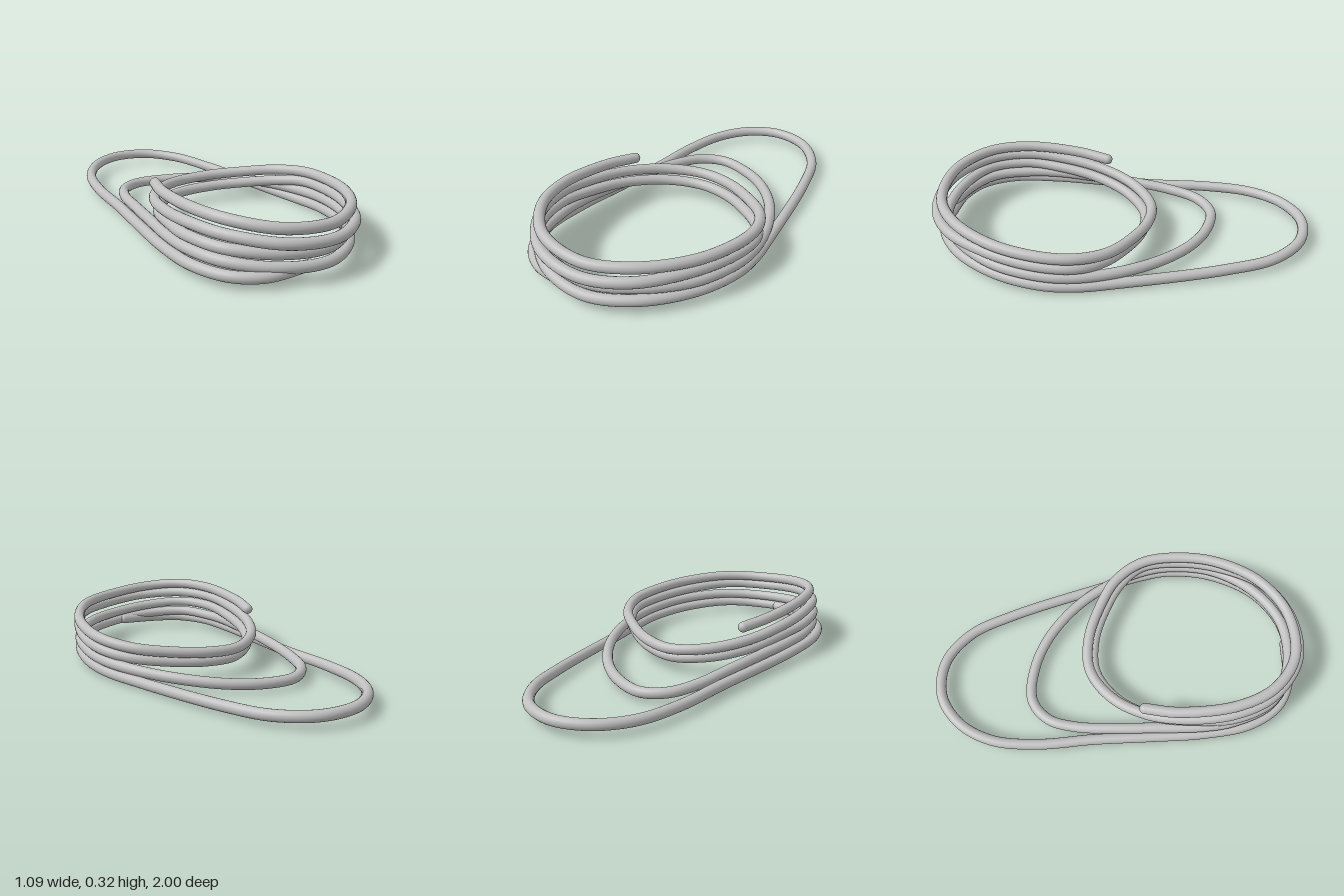
import * as THREE from 'three';

const R = 0.028;

// Front half of a turn, from the model's right to its left: [x, y, z]
const FRONT = [
  [-0.455, 0.293, 0.49], [-0.42, 0.292, 0.71], [-0.28, 0.27, 0.88], [-0.03, 0.246, 0.94],
  [0.2, 0.242, 0.86], [0.39, 0.227, 0.67], [0.49, 0.211, 0.45], [0.512, 0.199, 0.28],
];

// Back halves of the turns, from the model's left to its right
const SHORT_BACK = [
  [0.46, 0.18, 0.12], [0.35, 0.163, 0], [0.18, 0.147, -0.12], [0, 0.141, -0.165],
  [-0.19, 0.156, -0.095], [-0.34, 0.18, 0.06], [-0.435, 0.208, 0.27],
];
const MIDDLE_BACK = [
  [0.485, 0.079, 0.07], [0.41, 0.069, -0.14], [0.28, 0.055, -0.33], [0.13, 0.046, -0.45],
  [-0.04, 0.045, -0.508], [-0.17, 0.052, -0.455], [-0.26, 0.064, -0.32], [-0.33, 0.082, -0.13],
  [-0.4, 0.094, 0.1], [-0.465, 0.103, 0.33],
];
const LONG_BACK = [
  [0.507, 0.031, 0.05], [0.479, 0.044, -0.48], [0.43, 0.053, -0.74], [0.305, 0.062, -0.91],
  [0.12, 0.066, -0.972], [-0.06, 0.064, -0.915], [-0.2, 0.058, -0.77], [-0.29, 0.053, -0.54],
  [-0.35, 0.05, -0.25], [-0.425, 0.05, 0.05], [-0.49, 0.054, 0.32],
];

// Loose upper end, and lower end tucked into the turn above it
const UPPER_END = [[-0.32, 0.255, 0.04], [-0.395, 0.272, 0.2]];
const LOWER_END = [
  [-0.517, 0.058, 0.57], [-0.465, 0.058, 0.755], [-0.35, 0.058, 0.86], [-0.14, 0.072, 0.922],
];

// Front half lowered by drop, its side pushed out by out and its front moved by forward
function frontTurn(drop, out, forward) {
  return FRONT.map(([x, y, z], i) => [
    x - (i < 2 ? out : 0), y - drop * (1.08 - 0.016 * i), z + (i > 1 && i < 5 ? forward : 0),
  ]);
}

const move = (points, dy, dz) => points.map(([x, y, z]) => [x, y + dy, z + dz]);

export function createModel() {
  const group = new THREE.Group();
  group.name = 'coiledCord';
  const grey = new THREE.MeshStandardMaterial({ color: 0xbfbfbf });
  grey.name = 'cordGrey';

  // Centre line, wound from the top turn down
  const path = [
    ...UPPER_END,
    ...frontTurn(0, 0, 0), ...SHORT_BACK,
    ...frontTurn(0.058, 0.023, 0.031), ...move(SHORT_BACK, -0.056, 0.03),
    ...frontTurn(0.116, 0.03, -0.013), ...MIDDLE_BACK,
    ...frontTurn(0.174, 0.03, 0.005), ...LONG_BACK,
    ...LOWER_END,
  ].map((p) => new THREE.Vector3(...p));

  // One continuous cord
  const curve = new THREE.CatmullRomCurve3(path, false, 'centripetal');
  const cord = new THREE.Mesh(new THREE.TubeGeometry(curve, 700, R, 20, false), grey);
  cord.name = 'cord';
  group.add(cord);

  // Rounded ends
  [['upperEnd', path[0]], ['lowerEnd', path[path.length - 1]]].forEach(([name, point]) => {
    const end = new THREE.Mesh(new THREE.SphereGeometry(R, 20, 14), grey);
    end.name = name;
    end.position.copy(point);
    group.add(end);
  });
  return group;
}
